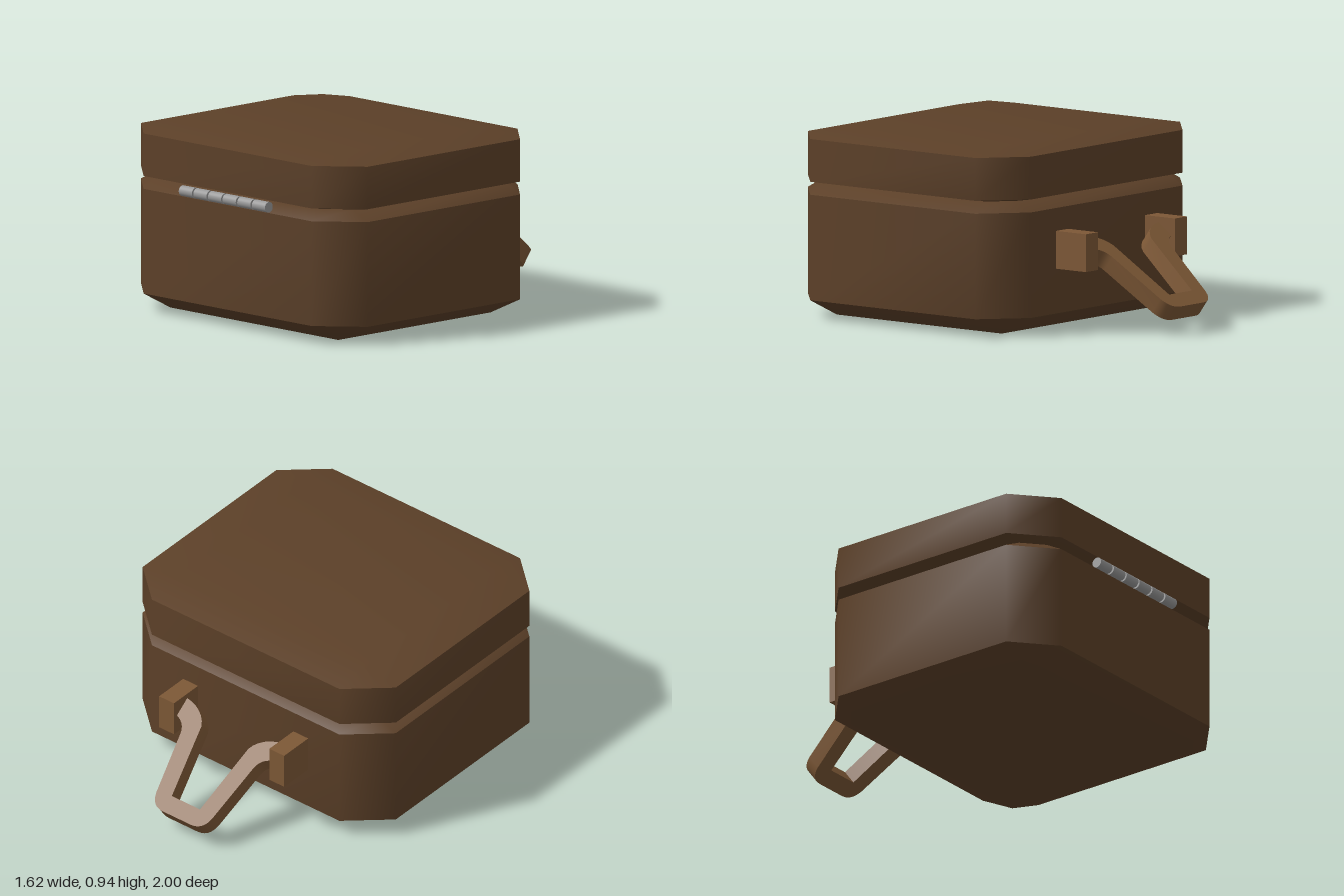
import * as THREE from 'three';
import { toCreasedNormals } from 'three/addons/utils/BufferGeometryUtils.js';

const CENTRE_Z = 0.2575;
const LEATHER = new THREE.MeshStandardMaterial({ color: 0x5c4028 });
const STRAP = new THREE.MeshStandardMaterial({ color: 0x7d5836 });
const METAL = new THREE.MeshStandardMaterial({ color: 0x999999 });

// Eight-sided ring: a 0.6 x 0.527 rectangle whose sides are pushed out by t (0 = rectangle, 1 = full size)
function ring(y, t) {
  const a = 0.6, b = 0.527, A = a + 0.21 * t, B = b + 0.1855 * t;
  return [[a, B], [A, b], [A, -b], [a, -B], [-a, -B], [-A, -b], [-A, b], [-a, B]]
    .map(([x, z]) => new THREE.Vector3(x, y, z + CENTRE_Z));
}

// Closed shell through a stack of rings, bottom to top
function shell(rings) {
  const pos = [];
  const tri = (a, b, c) => {
    if (new THREE.Triangle(a, b, c).getArea() < 1e-6) return;
    for (const p of [a, b, c]) pos.push(p.x, p.y, p.z);
  };
  for (let i = 0; i < rings.length - 1; i++) {
    const lo = rings[i], hi = rings[i + 1];
    for (let j = 0; j < 8; j++) {
      const k = (j + 1) % 8;
      tri(lo[j], lo[k], hi[k]);
      tri(lo[j], hi[k], hi[j]);
    }
  }
  const bottom = rings[0], top = rings[rings.length - 1];
  for (let j = 1; j < 7; j++) {
    tri(bottom[0], bottom[j + 1], bottom[j]);
    tri(top[0], top[j], top[j + 1]);
  }
  const geo = new THREE.BufferGeometry();
  geo.setAttribute('position', new THREE.Float32BufferAttribute(pos, 3));
  return toCreasedNormals(geo, 0.88);
}

// Handle outline: one half traced, then mirrored back
function handleGeometry() {
  const s = new THREE.Shape();
  s.moveTo(-0.31, 0);
  s.bezierCurveTo(-0.24, 0.005, -0.17, 0.045, -0.15, 0.1);
  s.lineTo(-0.09, 0.481);
  s.lineTo(0.09, 0.481);
  s.lineTo(0.15, 0.1);
  s.bezierCurveTo(0.17, 0.045, 0.24, 0.005, 0.31, 0);
  s.lineTo(0.31, 0.1);
  s.quadraticCurveTo(0.245, 0.12, 0.234, 0.174);
  s.lineTo(0.178, 0.5);
  s.quadraticCurveTo(0.16, 0.571, 0.09, 0.571);
  s.lineTo(-0.09, 0.571);
  s.quadraticCurveTo(-0.16, 0.571, -0.178, 0.5);
  s.lineTo(-0.234, 0.174);
  s.quadraticCurveTo(-0.245, 0.12, -0.31, 0.1);
  s.closePath();
  const geo = new THREE.ExtrudeGeometry(s, { depth: 0.089, bevelEnabled: false, curveSegments: 6 });
  return toCreasedNormals(geo, 0.6);
}

export function createModel() {
  const model = new THREE.Group();
  const add = (name, geo, mat, x = 0, y = 0, z = 0) => {
    const mesh = new THREE.Mesh(geo, mat);
    mesh.name = name;
    mesh.position.set(x, y, z);
    model.add(mesh);
    return mesh;
  };

  // Box and lid, meeting in a groove
  add('caseBody', shell([ring(0, 0), ring(0.095, 1), ring(0.625, 1), ring(0.675, 0.5)]), LEATHER);
  add('lid', shell([ring(0.675, 0.5), ring(0.69, 1), ring(0.905, 1), ring(0.94, 0)]), LEATHER);

  // Hinge knuckles along the front
  const knuckle = new THREE.CylinderGeometry(0.027, 0.027, 0.094, 24).rotateZ(Math.PI / 2);
  for (let i = 0; i < 6; i++) add('hingeKnuckle', knuckle, METAL, -0.271 + i * 0.1045, 0.655, 0.973);

  // Handle brackets on the back
  const bracket = new THREE.BoxGeometry(0.095, 0.19, 0.2);
  add('leftHandleBracket', bracket, STRAP, 0.3525, 0.415, -0.545);
  add('rightHandleBracket', bracket, STRAP, -0.3525, 0.415, -0.545);

  // Drooping handle, leaning back and down
  add('handle', handleGeometry(), STRAP, 0, 0.412, -0.487).rotation.x = -2.206;

  return model;
}
